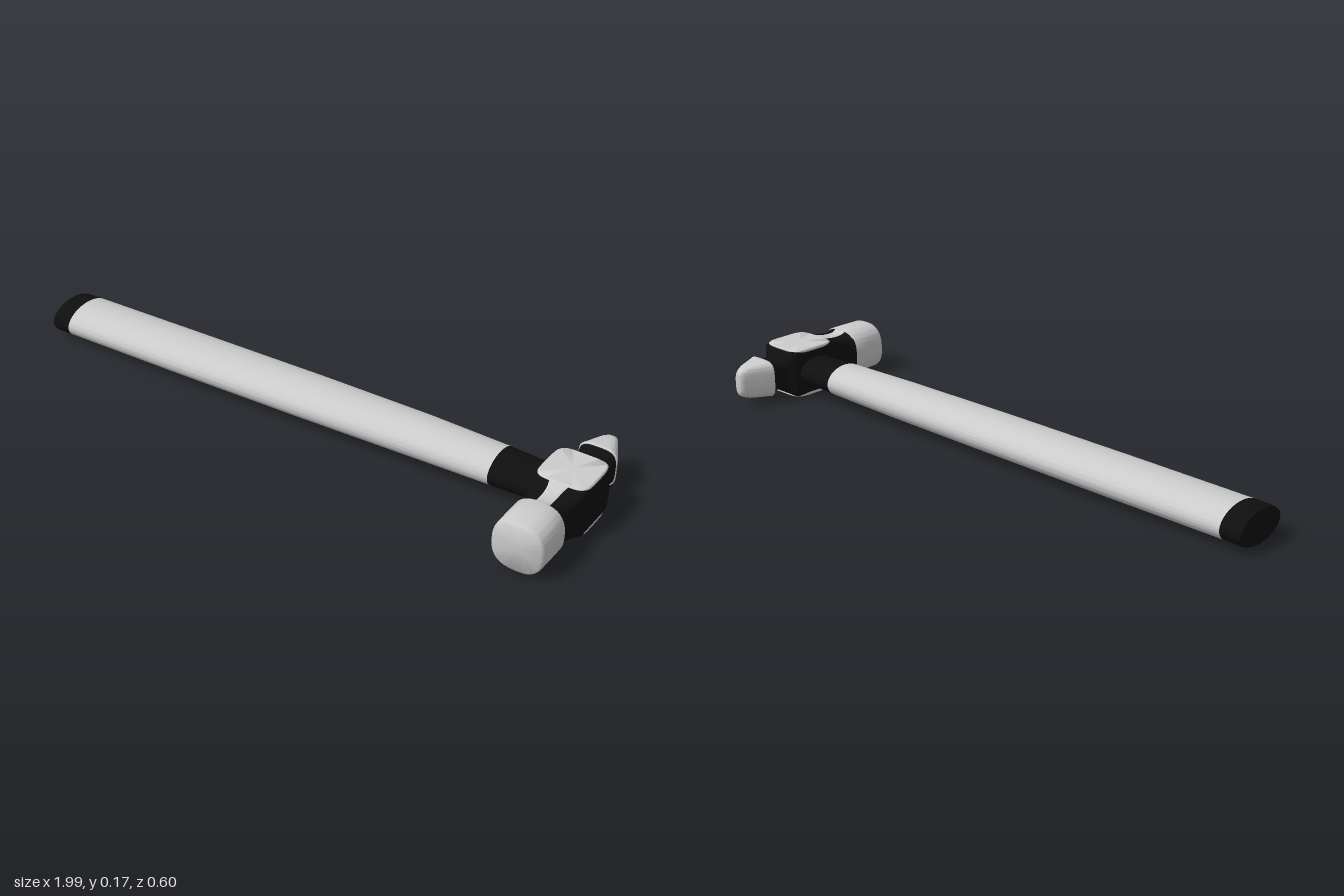
import * as THREE from 'three';
import { toCreasedNormals } from 'three/addons/utils/BufferGeometryUtils.js';

const grey = new THREE.MeshStandardMaterial({ color: 0xcccccc });
const black = new THREE.MeshStandardMaterial({ color: 0x0f0f0f });
const CX = 0.91, CY = 0.088; // axis of the head

// Loft along +z. Each section is [z, halfX, halfY, exponent, centreX, centreY];
// exponent 2 is an ellipse, larger values are squarer.
function loft(name, sections, material, sides = 64) {
  const pos = [], idx = [];
  for (const [z, hx, hy, n = 2, cx = 0, cy = 0] of sections) {
    for (let i = 0; i < sides; i++) {
      const t = ((i + 0.5) / sides) * Math.PI * 2, c = Math.cos(t), s = Math.sin(t);
      pos.push(cx + hx * Math.sign(c) * Math.abs(c) ** (2 / n),
        cy + hy * Math.sign(s) * Math.abs(s) ** (2 / n), z);
    }
  }
  const last = sections.length - 1;
  for (let r = 0; r < last; r++) {
    for (let i = 0; i < sides; i++) {
      const j = (i + 1) % sides, a = r * sides, b = a + sides;
      idx.push(a + i, a + j, b + j, a + i, b + j, b + i);
    }
  }
  // End caps
  for (const r of [0, last]) {
    const [z, , , , cx = 0, cy = 0] = sections[r];
    const centre = pos.length / 3;
    pos.push(cx, cy, z);
    for (let i = 0; i < sides; i++) {
      const a = r * sides + i, b = r * sides + (i + 1) % sides;
      if (r === 0) idx.push(centre, b, a);
      else idx.push(centre, a, b);
    }
  }
  const g = new THREE.BufferGeometry();
  g.setAttribute('position', new THREE.Float32BufferAttribute(pos, 3));
  g.setIndex(idx);
  const mesh = new THREE.Mesh(toCreasedNormals(g, 0.7), material);
  mesh.name = name;
  return mesh;
}

// Handle outline at x: [x, zMin, zMax, yMin, yMax]
const outline = [
  [-1, -0.097, 0.097, 0.012, 0.117], [-0.99, -0.1, 0.1, 0.008, 0.12],
  [-0.93, -0.1, 0.099, 0.009, 0.122], [-0.5, -0.105, 0.094, 0.014, 0.13],
  [0, -0.109, 0.084, 0.022, 0.138], [0.4, -0.107, 0.07, 0.028, 0.143],
  [0.68, -0.1, 0.06, 0.034, 0.141], [0.83, -0.095, 0.055, 0.039, 0.136],
  [0.992, -0.08, 0.04, 0.045, 0.13],
];
const handlePart = (name, from, to, material) => {
  const part = loft(name, outline.slice(from, to + 1).map(([x, z0, z1, y0, y1]) =>
    [x, (z1 - z0) / 2, (y1 - y0) / 2, 2, -(z0 + z1) / 2, (y0 + y1) / 2]), material);
  part.rotation.y = Math.PI / 2;
  return part;
};

export function createModel() {
  const model = new THREE.Group();
  model.name = 'hammer';

  const handle = new THREE.Group();
  handle.name = 'handle';
  handle.add(handlePart('handleEnd', 0, 2, black), handlePart('handleGrip', 2, 6, grey),
    handlePart('handleNeck', 6, 8, black));
  model.add(handle);

  const head = new THREE.Group();
  head.name = 'head';
  head.position.set(CX, CY, 0);
  model.add(head);

  // Painted core: rear neck, square eye block and front neck
  head.add(loft('headBody', [
    [-0.19, 0.062, 0.062, 3.5], [-0.18, 0.057, 0.056, 3.5], [-0.165, 0.053, 0.053, 3.5],
    [-0.15, 0.052, 0.052, 3.5], [-0.135, 0.055, 0.055, 4], [-0.122, 0.064, 0.064, 5],
    [-0.112, 0.076, 0.074, 8], [-0.105, 0.083, 0.08, 12], [-0.095, 0.085, 0.081, 14],
    [0.055, 0.085, 0.081, 14], [0.068, 0.084, 0.079, 10], [0.085, 0.081, 0.074, 7],
    [0.105, 0.077, 0.07, 5], [0.13, 0.073, 0.068, 4], [0.15, 0.073, 0.069, 3.5],
    [0.162, 0.077, 0.073, 3], [0.172, 0.082, 0.08, 2.7],
  ], black));

  // Striking face
  head.add(loft('strikingFace', [
    [0.169, 0.08, 0.081, 2.6], [0.174, 0.083, 0.083, 2.6], [0.23, 0.083, 0.083, 2.6],
    [0.288, 0.082, 0.082, 2.6], [0.296, 0.08, 0.08, 2.6], [0.299, 0.076, 0.076, 2.6],
  ], grey));

  // Wedge-shaped peen at the back
  head.add(loft('peen', [
    [-0.299, 0.009, 0.03, 3], [-0.297, 0.015, 0.037, 3], [-0.292, 0.019, 0.044, 3.2],
    [-0.283, 0.023, 0.05, 3.5], [-0.265, 0.031, 0.056, 4], [-0.235, 0.045, 0.06, 4],
    [-0.205, 0.059, 0.063, 4], [-0.193, 0.064, 0.065, 4], [-0.189, 0.062, 0.063, 4],
  ], grey));

  for (const side of [1, -1]) {
    const label = side > 0 ? 'top' : 'bottom';
    // Bare metal pad above and below the eye
    const pad = loft(label + 'Pad', [
      [0.074, 0.083, 0.086, 5], [0.081, 0.084, 0.087, 5], [0.0845, 0.081, 0.083, 5],
    ], grey);
    pad.rotation.x = -side * Math.PI / 2;
    pad.position.z = -0.022;
    head.add(pad);

    // Bare strip along the front neck
    head.add(loft(label + 'NeckStrip', [
      [0.055, 0.032, 0.004, 8, 0, side * 0.079], [0.07, 0.029, 0.004, 8, 0, side * 0.0765],
      [0.085, 0.025, 0.004, 8, 0, side * 0.0715], [0.105, 0.023, 0.004, 8, 0, side * 0.0675],
      [0.13, 0.022, 0.004, 8, 0, side * 0.0655], [0.15, 0.022, 0.004, 8, 0, side * 0.0665],
      [0.162, 0.023, 0.004, 8, 0, side * 0.0705], [0.172, 0.025, 0.004, 8, 0, side * 0.0775],
    ], grey, 16));
  }
  return model;
}
